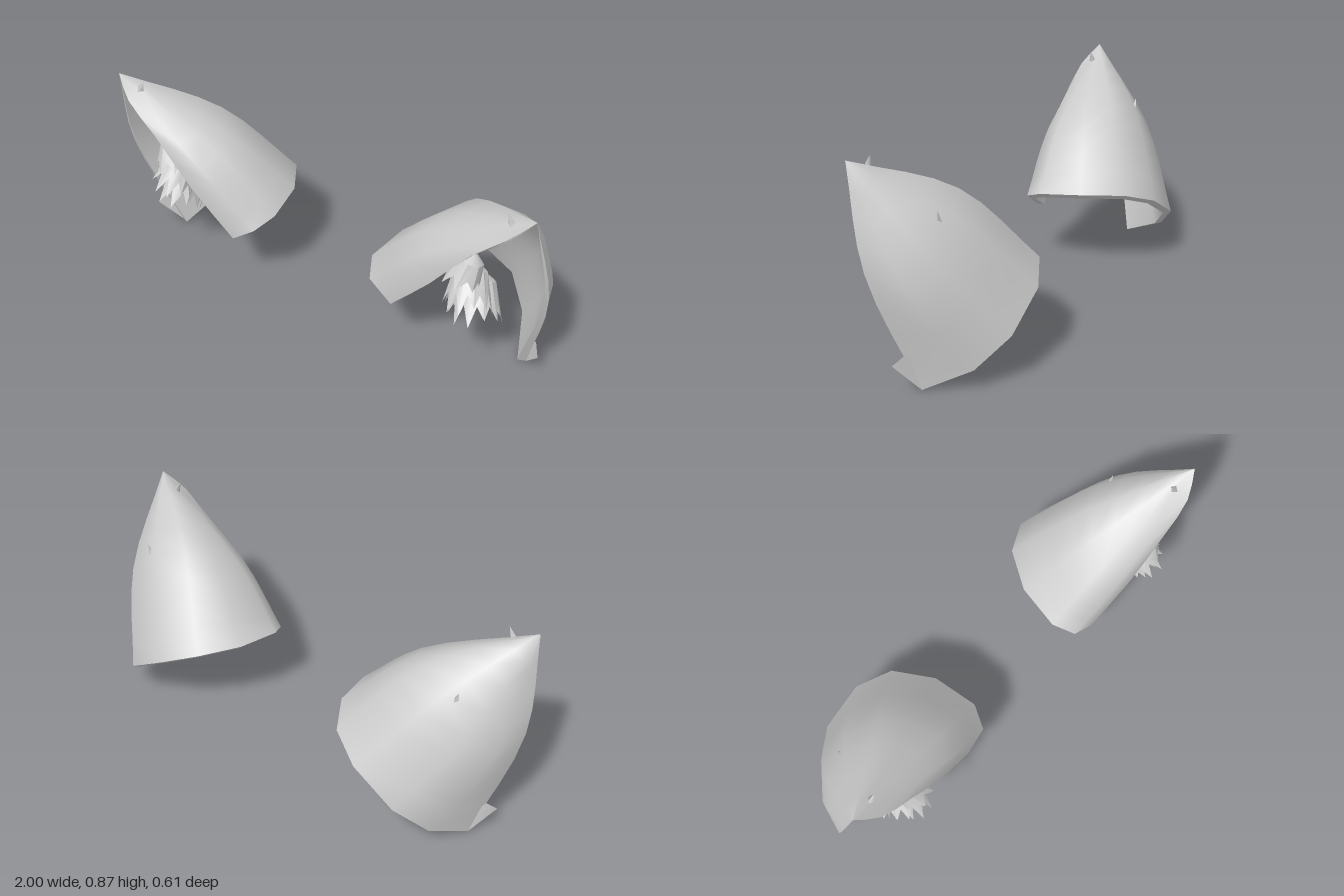
import * as THREE from 'three';
import { toCreasedNormals } from 'three/addons/utils/BufferGeometryUtils.js';

const V = (p) => new THREE.Vector3(...p);
const material = new THREE.MeshStandardMaterial({ color: 0xcccccc, side: THREE.DoubleSide });

const TIP = [0.955, 0.87, 0.205];
// Strands of the shell from rim to tip: outer front edge, round the back, to inner front edge
const STRANDS = [
  [[0.885, 0, -0.03], [1.0, 0.48, 0.115]],
  [[0.81, 0.095, -0.21], [0.955, 0.43, -0.03]],
  [[0.7, 0.21, -0.305], [0.88, 0.54, -0.09]],
  [[0.51, 0.325, -0.305], [0.74, 0.65, -0.09]],
  [[0.37, 0.38, -0.23], [0.61, 0.7, -0.03]],
  [[0.27, 0.385, -0.07], [0.53, 0.655, 0.06]],
  [[0.24, 0.365, 0.12], [0.48, 0.605, 0.16]],
  [[0.285, 0.325, 0.21], [0.53, 0.57, 0.24]],
  [[0.39, 0.25, 0.22], [0.57, 0.455, 0.25], [0.74, 0.67, 0.262], [0.87, 0.79, 0.255]],
];

function makeGeometry(positions, index) {
  const g = new THREE.BufferGeometry();
  g.setAttribute('position', new THREE.Float32BufferAttribute(positions, 3));
  g.setIndex(index);
  g.computeVertexNormals();
  return g;
}

// Thin curved shell: outer skin, inner skin and closed edges
function shellGeometry(levels = 8, thickness = 0.035) {
  const n = STRANDS.length;
  const curves = STRANDS.map((s) => new THREE.CatmullRomCurve3([...s, TIP].map(V)));
  const outer = [], skin = [];
  for (let j = 0; j <= levels; j++) {
    for (const c of curves) outer.push(c.getPoint(j / levels));
  }
  for (let j = 0; j < levels; j++) {
    for (let i = 0; i < n - 1; i++) {
      const a = j * n + i;
      skin.push(a, a + 1, a + n, a + 1, a + n + 1, a + n);
    }
  }
  const normals = makeGeometry(outer.flatMap((p) => p.toArray()), skin).attributes.normal;

  // Each level is one closed loop: outward along the outside, back along the inside
  const positions = [], index = [], m = 2 * n;
  for (let j = 0; j <= levels; j++) {
    const row = outer.slice(j * n, j * n + n);
    const inside = row.map((p, i) => p.clone().addScaledVector(
      new THREE.Vector3().fromBufferAttribute(normals, j * n + i), -thickness * (1 - j / levels)));
    for (const p of [...row, ...inside.reverse()]) positions.push(...p.toArray());
  }
  for (let j = 0; j < levels; j++) {
    for (let i = 0; i < m; i++) {
      const a = j * m + i, b = j * m + (i + 1) % m;
      index.push(a, b, a + m, b, b + m, a + m);
    }
  }
  // Rim
  for (let i = 0; i < n - 1; i++) {
    index.push(i, m - 1 - i, i + 1, i + 1, m - 1 - i, m - 2 - i);
  }
  return toCreasedNormals(makeGeometry(positions, index), 1.0);
}

// Flared tuft with a zigzag hem, from an apex towards the centre of the hem
function tuftGeometry(apex, hem, radius, points = 11) {
  const a = V(apex), axis = V(hem).sub(a);
  const turn = new THREE.Quaternion().setFromUnitVectors(
    new THREE.Vector3(0, 1, 0), axis.clone().normalize());
  const length = axis.length(), count = points * 2;
  const positions = [...apex], index = [];
  for (let ring = 0; ring < 2; ring++) {
    for (let i = 0; i < count; i++) {
      const angle = (i / count) * Math.PI * 2;
      const long = i % 2 === 0;
      const r = radius * (ring ? (long ? 1.08 : 0.9) : (long ? 0.72 : 0.66));
      const h = length * (ring ? (long ? 1.15 + 0.12 * Math.sin(i * 2.3) : 0.78) : 0.3);
      const p = new THREE.Vector3(Math.cos(angle) * r, h, Math.sin(angle) * r);
      positions.push(...p.applyQuaternion(turn).add(a).toArray());
    }
  }
  for (let i = 0; i < count; i++) {
    const p = 1 + i, q = 1 + (i + 1) % count;
    index.push(0, p, q, p, p + count, q, q, p + count, q + count);
  }
  return toCreasedNormals(makeGeometry(positions, index), 0.6);
}

// Small pointed lock of hair
function spikeGeometry(base, tip, radius) {
  const dir = V(tip).sub(V(base));
  const g = new THREE.ConeGeometry(radius, dir.length(), 4);
  g.translate(0, dir.length() / 2, 0);
  g.applyQuaternion(new THREE.Quaternion().setFromUnitVectors(
    new THREE.Vector3(0, 1, 0), dir.normalize()));
  return g.translate(...base);
}

function createEar(name) {
  const ear = new THREE.Group();
  ear.name = name;
  const add = (part, geometry) => {
    const mesh = new THREE.Mesh(geometry, material);
    mesh.name = part;
    ear.add(mesh);
  };
  add('earShell', shellGeometry());

  // Layered inner fur
  add('lowerFur', tuftGeometry([0.69, 0.48, 0.08], [0.725, 0.32, 0.15], 0.1));
  add('middleFur', tuftGeometry([0.68, 0.55, 0.12], [0.715, 0.4, 0.2], 0.09));
  add('upperFur', tuftGeometry([0.72, 0.63, 0.18], [0.69, 0.51, 0.215], 0.07, 7));

  // Stray locks on the back and near the tip
  add('backLock', spikeGeometry([0.78, 0.62, -0.06], [0.8, 0.683, -0.065], 0.018));
  add('tipLock', spikeGeometry([0.86, 0.81, 0.19], [0.835, 0.86, 0.19], 0.018));

  // Folded tooth at the foot of the outer edge
  add('edgeTooth', makeGeometry(
    [0.885, 0, -0.03, 0.96, 0.113, 0.045, 0.93, 0.155, 0.005, 0.87, 0.06, -0.02],
    [0, 1, 2, 0, 2, 3]));
  return ear;
}

export function createModel() {
  const model = new THREE.Group();
  model.name = 'ears';
  const right = createEar('rightEar');
  right.scale.x = -1;
  model.add(createEar('leftEar'), right);
  return model;
}
